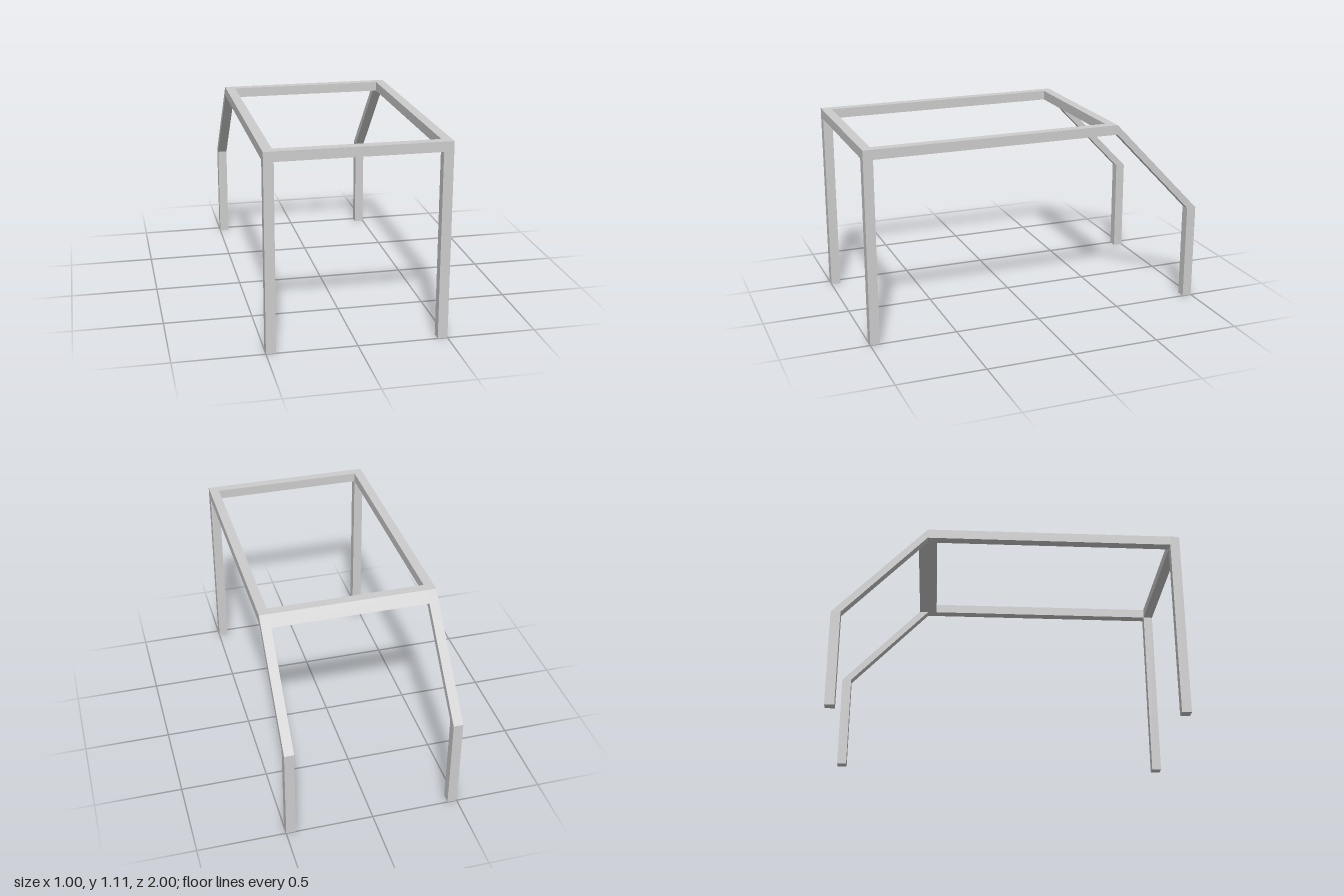
import * as THREE from 'three';

const W = 0.5;          // half width of the frame
const T = 0.055;        // beam thickness
const H = 1.11;         // top height
const KNEE = 0.56;      // height where the rear struts meet the rear posts
const BEND = -0.472;    // z where the roof bends down

export function createModel() {
  const model = new THREE.Group();
  model.name = 'frame';
  const grey = new THREE.MeshStandardMaterial({ color: 0xcccccc });
  grey.name = 'grey';

  // Beam from a [z, y] side profile, extruded along x and centred at x
  const beam = (name, profile, width, x) => {
    const shape = new THREE.Shape(profile.map(([z, y]) => new THREE.Vector2(z, y)));
    const geo = new THREE.ExtrudeGeometry(shape, { depth: width, bevelEnabled: false });
    geo.rotateY(-Math.PI / 2);
    geo.translate(x + width / 2, 0, 0);
    const mesh = new THREE.Mesh(geo, grey);
    mesh.name = name;
    model.add(mesh);
  };
  const rect = (z0, z1, y0, y1) => [[z0, y0], [z1, y0], [z1, y1], [z0, y1]];

  // Side frames
  for (const [side, s] of [['left', 1], ['right', -1]]) {
    const x = s * (W - T / 2);
    beam(side + 'FrontPost', rect(1 - T, 1, 0, H), T, x);
    beam(side + 'RoofRail', rect(BEND, 1 - T, H - T, H), T, x);
    beam(side + 'RearStrut', [[BEND, H], [-1, KNEE], [T - 1, KNEE], [BEND, H - T]], T, x);
    beam(side + 'RearPost', rect(-1, T - 1, 0, KNEE), T, x);
  }

  // Cross bars between the side frames; the rear one follows the slope
  const span = 2 * (W - T);
  beam('frontCrossBar', rect(1 - T, 1, H - T, H), span, 0);
  const slopeZ = BEND - T * (1 + BEND) / (H - KNEE);
  beam('rearCrossBar', [[BEND, H], [slopeZ, H - T], [-0.418, H - T], [-0.418, H]], span, 0);

  return model;
}
